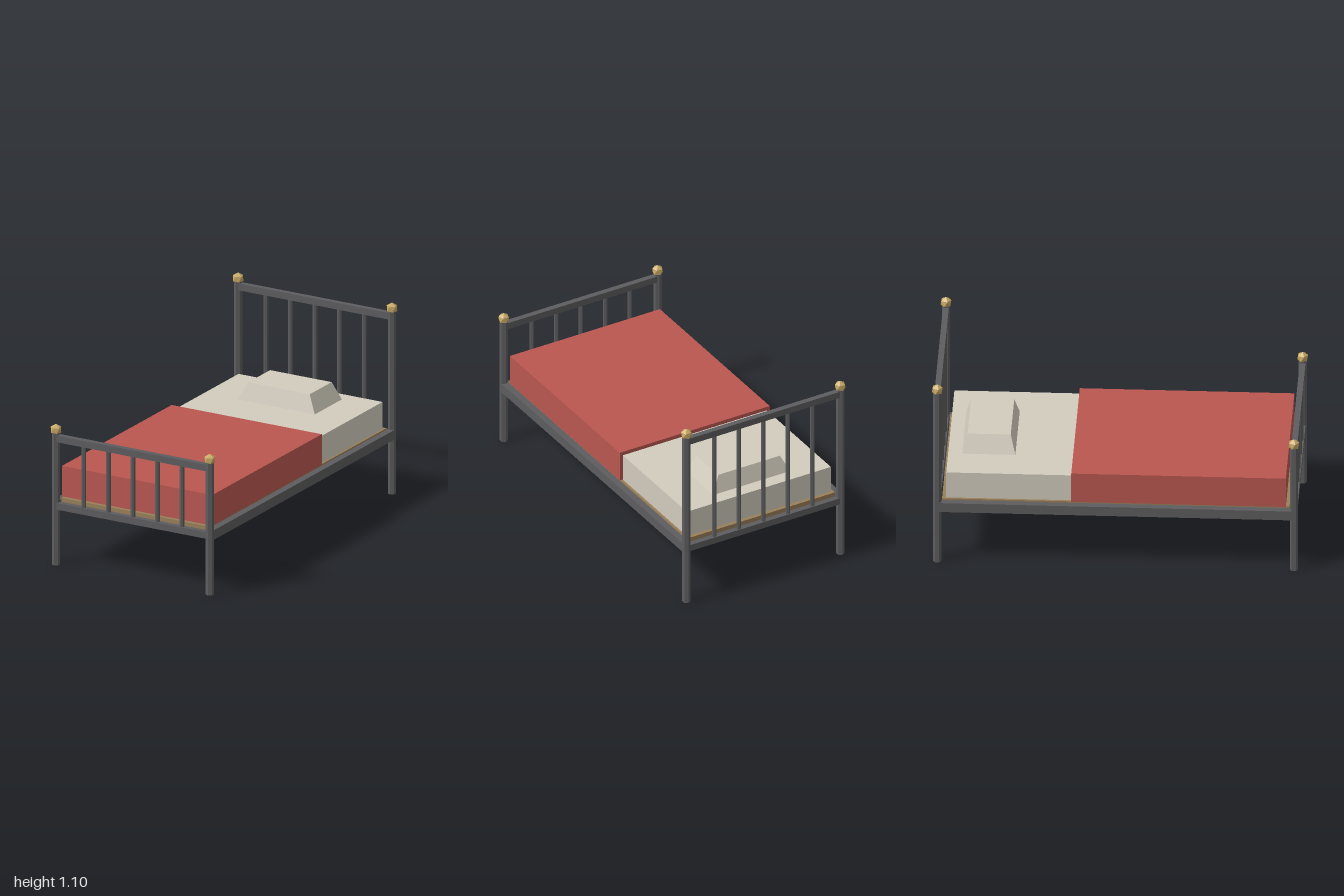
import * as THREE from 'three';

const mat = (name, color, flatShading = true) => {
  const m = new THREE.MeshStandardMaterial({ color, flatShading });
  m.name = name;
  return m;
};

export function createModel() {
  const group = new THREE.Group();
  const iron = mat('iron', 0x5d5d5f);
  const brass = mat('brass', 0xc8aa66);
  const wood = mat('wood', 0x9a7f5a);
  const linen = mat('linen', 0xd2ccbd);
  const red = mat('red wool', 0xba5750);

  const add = (name, geo, material, x, y, z) => {
    const mesh = new THREE.Mesh(geo, material);
    mesh.name = name;
    mesh.position.set(x, y, z);
    group.add(mesh);
    return mesh;
  };
  // Box given by its lower and upper corners
  const box = (name, material, a, b) => add(name,
    new THREE.BoxGeometry(b[0] - a[0], b[1] - a[1], b[2] - a[2]), material,
    (a[0] + b[0]) / 2, (a[1] + b[1]) / 2, (a[2] + b[2]) / 2);
  // Six-sided upright bar
  const bar = (name, r, x, z, y0, y1) => add(name,
    new THREE.CylinderGeometry(r, r, y1 - y0, 6), iron, x, (y0 + y1) / 2, z);

  // Icosahedron standing on a vertex, with an upper-ring vertex facing +z
  const knob = new THREE.IcosahedronGeometry(0.033, 0);
  knob.rotateZ(Math.atan(2 / (1 + Math.sqrt(5))));
  knob.rotateY(Math.PI / 2);

  const postX = 0.486, endZ = 0.97;

  // Headboard and footboard: posts, knobs, rails and spindles
  const ends = [
    { name: 'head', z: -endZ, railTop: 1.04, postTop: 1.05, knobY: 1.065 },
    { name: 'foot', z: endZ, railTop: 0.748, postTop: 0.76, knobY: 0.776 },
  ];
  for (const e of ends) {
    for (const s of [-1, 1]) {
      bar(e.name + 'Post', 0.0228, s * postX, e.z, 0, e.postTop);
      add(e.name + 'Knob', knob, brass, s * postX, e.knobY, e.z);
    }
    for (const [part, top] of [['TopRail', e.railTop], ['LowerRail', 0.36]]) {
      box(e.name + part, iron, [-postX, top - 0.038, e.z - 0.016], [postX, top, e.z + 0.016]);
    }
    for (let i = -2; i <= 2; i++) {
      bar(e.name + 'Spindle', 0.0128, i * 0.155, e.z, 0.35, e.railTop - 0.03);
    }
  }

  // Long side rails
  for (const s of [-1, 1]) {
    box('sideRail', iron, [s * postX - 0.02, 0.315, -endZ + 0.01], [s * postX + 0.02, 0.37, endZ - 0.01]);
  }

  // Base board, mattress and blanket
  box('baseBoard', wood, [-0.467, 0.343, -0.945], [0.467, 0.379, 0.945]);
  box('mattress', linen, [-0.455, 0.379, -0.923], [0.455, 0.534, 0.915]);
  box('blanket', red, [-0.474, 0.38, -0.242], [0.474, 0.556, 0.925]);

  // Pillow: a box whose top is drawn inwards
  const pillow = new THREE.BoxGeometry(0.486, 0.1, 0.29);
  const p = pillow.attributes.position;
  for (let i = 0; i < p.count; i++) {
    if (p.getY(i) > 0) p.setXYZ(i, p.getX(i) * 0.8, p.getY(i), p.getZ(i) * 0.81);
  }
  pillow.computeVertexNormals();
  add('pillow', pillow, linen, 0, 0.583, -0.702);

  return group;
}
